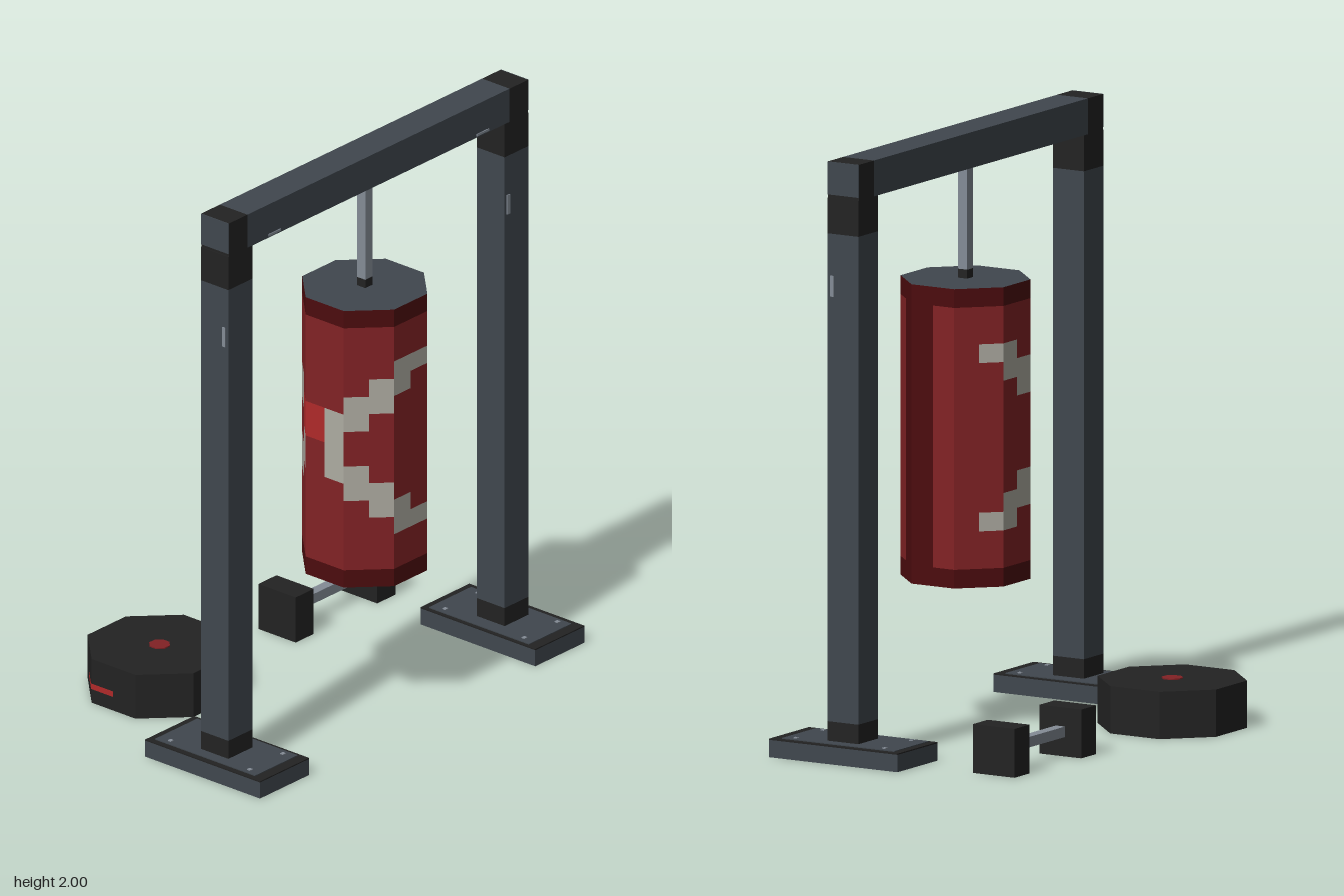
import * as THREE from 'three';

const mat = (name, color) => {
  const m = new THREE.MeshStandardMaterial({ color });
  m.name = name;
  return m;
};

export function createModel() {
  const steelGrey = mat('steelGrey', 0x40474e);
  const black = mat('black', 0x232323);
  const metal = mat('metal', 0x848c96);
  const red = mat('red', 0x822225);
  const darkRed = mat('darkRed', 0x4c0c0e);
  const brightRed = mat('brightRed', 0xb02a2a);
  const offWhite = mat('offWhite', 0xaeaca2);
  const model = new THREE.Group();
  model.name = 'boxingGym';

  const add = (parent, name, geometry, material, x = 0, y = 0, z = 0) => {
    const mesh = new THREE.Mesh(geometry, material);
    mesh.name = name;
    mesh.position.set(x, y, z);
    parent.add(mesh);
    return mesh;
  };
  // box from its extents
  const box = (parent, name, material, x0, x1, y0, y1, z0, z1) =>
    add(parent, name, new THREE.BoxGeometry(x1 - x0, y1 - y0, z1 - z0), material,
      (x0 + x1) / 2, (y0 + y1) / 2, (z0 + z1) / 2);
  const group = (name) => {
    const g = new THREE.Group();
    g.name = name;
    model.add(g);
    return g;
  };

  // octagon outline in sixteen half faces, starting at the front right corner
  const ringPoint = (k, apothem) => {
    const a = (k - 1) * Math.PI / 8;
    const r = k % 2 ? apothem : apothem / Math.cos(Math.PI / 8);
    return [-r * Math.sin(a), r * Math.cos(a)];
  };
  const pushPanel = (list, k, apothem, y0, y1) => {
    const [ax, az] = ringPoint(k, apothem), [bx, bz] = ringPoint(k + 1, apothem);
    list.push(bx, y0, bz, ax, y0, az, ax, y1, az, bx, y0, bz, ax, y1, az, bx, y1, bz);
  };
  const panels = (list) => {
    const g = new THREE.BufferGeometry();
    g.setAttribute('position', new THREE.Float32BufferAttribute(list, 3));
    g.computeVertexNormals();
    return g;
  };
  // flat octagonal cap facing up or down
  const cap = (apothem, up) => {
    const g = new THREE.CircleGeometry(apothem / Math.cos(Math.PI / 8), 8, Math.PI / 8);
    return g.rotateX(up ? -Math.PI / 2 : Math.PI / 2);
  };

  // frame: posts and feet
  const frame = group('frame');
  const Z0 = 0.21, Z1 = 0.33;
  for (const s of [-1, 1]) {
    const side = s > 0 ? 'left' : 'right';
    const part = (name, material, x0, x1, ...rest) =>
      box(frame, side + name, material, Math.min(s * x0, s * x1), Math.max(s * x0, s * x1), ...rest);
    part('Post', steelGrey, 0.63, 0.75, 0.13, 1.76, Z0, Z1);
    part('PostFoot', black, 0.63, 0.75, 0.06, 0.13, Z0, Z1);
    part('PostTop', black, 0.63, 0.75, 1.76, 1.88, Z0, Z1);
    part('FootPlate', steelGrey, 0.565, 0.81, 0, 0.058, 0.02, 0.52);
    part('FootPlateRim', black, 0.565, 0.81, 0.058, 0.062, 0.02, 0.52);
    part('FootPlateTop', steelGrey, 0.578, 0.79, 0.062, 0.065, 0.045, 0.482);
    for (const [x, z] of [[0.603, 0.095], [0.768, 0.095], [0.603, 0.44], [0.768, 0.44]])
      part('FootBolt', metal, x - 0.007, x + 0.007, 0.065, 0.068, z - 0.007, z + 0.007);
    // beam end, black around the sides with a grey end plate
    part('BeamEnd', black, 0.655, 0.747, 1.88, 2, Z0, Z1);
    part('BeamEndPlate', steelGrey, 0.747, 0.75, 1.89, 2, Z0, Z1);
    part('BeamMark', metal, 0.49, 0.55, 1.885, 1.893, 0.33, 0.333);
    part('PostMark', metal, 0.75, 0.753, 1.55, 1.62, 0.305, 0.318);
  }
  box(frame, 'postFrontMark', metal, 0.64, 0.655, 1.55, 1.62, 0.33, 0.333);
  box(frame, 'beam', steelGrey, -0.655, 0.655, 1.88, 2, Z0, Z1);

  // hanging bag, with a stepped cross of tape wrapping one side
  const bag = group('punchingBag');
  bag.position.z = 0.27;
  const tape = [[12], [11, 12], [10, 11], [9, 10], [8, 9], [], [], [9, 10], [10, 11], [11, 12], [12]];
  const bagColour = (k, row) => {
    if (row === 0 || row === 15 || k === 13 || k === 14) return darkRed;
    if ((k === 5 || k === 6) && (row === 8 || row === 9)) return brightRed;
    if (k === 6 && (row === 6 || row === 7)) return offWhite;
    const cells = tape[k] || [];
    return cells.includes(row) || cells.includes(15 - row) ? offWhite : red;
  };
  const lists = new Map([red, darkRed, brightRed, offWhite].map((m) => [m, []]));
  for (let k = 0; k < 16; k++)
    for (let row = 0; row < 16; row++)
      pushPanel(lists.get(bagColour(k, row)), k, 0.2, 0.5 + row / 16, 0.5 + (row + 1) / 16);
  const names = ['bagCover', 'bagTrim', 'bagBadge', 'bagTape'];
  [...lists].forEach(([m, list], i) => add(bag, names[i], panels(list), m));
  add(bag, 'bagTop', cap(0.2, true), steelGrey, 0, 1.5, 0);
  add(bag, 'bagBottom', cap(0.2, false), steelGrey, 0, 0.5, 0);
  box(bag, 'hangingRod', metal, -0.018, 0.018, 1.53, 1.88, -0.018, 0.018);
  box(bag, 'rodSocket', black, -0.018, 0.018, 1.5, 1.53, -0.018, 0.018);

  // weight plate lying on the floor
  const disc = group('weightPlate');
  disc.position.set(-0.377, 0, -0.295);
  const wall = [], stripe = [];
  for (let k = 0; k < 16; k++) pushPanel(wall, k, 0.23, 0, 0.158);
  for (const k of [5, 6]) pushPanel(stripe, k, 0.232, 0.05, 0.07);
  add(disc, 'plateWall', panels(wall), black);
  add(disc, 'plateTop', cap(0.23, true), black, 0, 0.158, 0);
  add(disc, 'plateBottom', cap(0.23, false), black);
  add(disc, 'plateStripe', panels(stripe), brightRed);
  add(disc, 'plateCentre', new THREE.CylinderGeometry(0.036, 0.036, 0.004, 8).rotateY(Math.PI / 8),
    red, 0, 0.16, 0);

  // dumbbell
  const dumbbell = group('dumbbell');
  box(dumbbell, 'innerWeight', black, 0.188, 0.278, 0, 0.163, -0.357, -0.195);
  box(dumbbell, 'outerWeight', black, 0.595, 0.687, 0, 0.163, -0.357, -0.195);
  box(dumbbell, 'handle', metal, 0.278, 0.595, 0.065, 0.1, -0.294, -0.258);

  return model;
}
